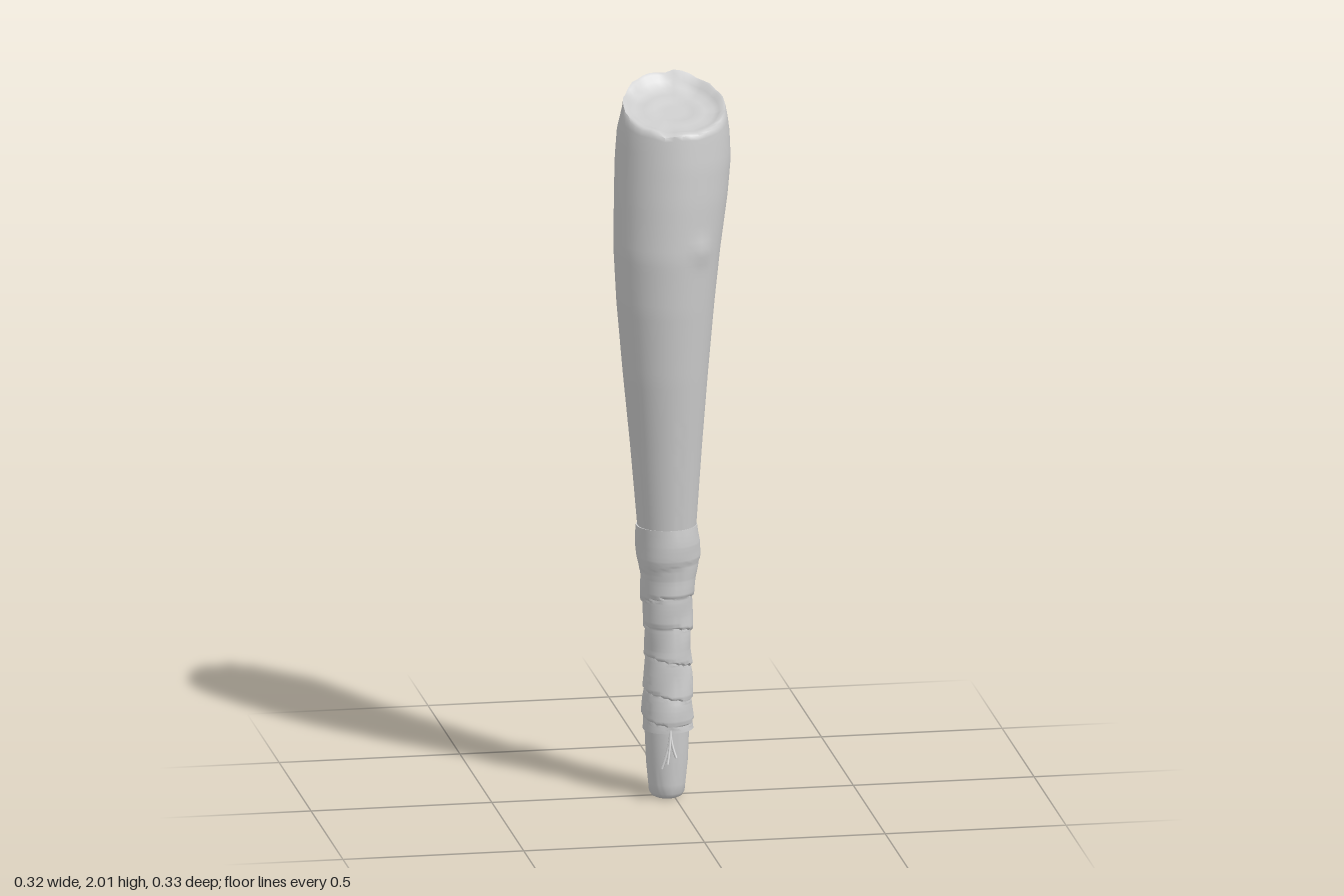
import * as THREE from 'three';
import { toCreasedNormals } from 'three/addons/utils/BufferGeometryUtils.js';

const SIDES = 40;

// Skin a list of rings (each a function of angle giving [x, y, z]) into a surface
function skin(rings, crease) {
  const pos = [], idx = [];
  for (const ring of rings)
    for (let j = 0; j < SIDES; j++) pos.push(...ring((j / SIDES) * Math.PI * 2));
  for (let i = 0; i < rings.length - 1; i++)
    for (let j = 0; j < SIDES; j++) {
      const k = (j + 1) % SIDES;
      const a = i * SIDES + j, b = i * SIDES + k, d = a + SIDES, c = b + SIDES;
      idx.push(a, d, c, a, c, b);
    }
  const g = new THREE.BufferGeometry();
  g.setAttribute('position', new THREE.Float32BufferAttribute(pos, 3));
  g.setIndex(idx);
  g.computeVertexNormals();
  return crease ? toCreasedNormals(g, crease) : g;
}

// Interpolate stations [y, xMin, xMax, zMin, zMax] at height y
function sample(stations, y) {
  let i = 0;
  while (i < stations.length - 2 && y > stations[i + 1][0]) i++;
  const a = stations[i], b = stations[i + 1];
  const t = THREE.MathUtils.clamp((y - a[0]) / (b[0] - a[0]), 0, 1);
  const [, x0, x1, z0, z1] = a.map((v, n) => v + (b[n] - v) * t);
  return { cx: (x0 + x1) / 2, cz: (z0 + z1) / 2, rx: (x1 - x0) / 2, rz: (z1 - z0) / 2 };
}

const at = (s, a, y, k = 1, d = 0) =>
  [s.cx + (s.rx * k + d) * Math.cos(a), y, s.cz + (s.rz * k + d) * Math.sin(a)];

// Smooth round bump or dent centred at angle a0 and height y0
function knot(a, y, a0, y0, width, height) {
  const da = Math.atan2(Math.sin(a - a0), Math.cos(a - a0)) * 0.15;
  return Math.exp(-((da / width) ** 2) - ((y - y0) / height) ** 2);
}

const BODY = [
  [0.74, -0.097, 0.06, -0.063, 0.093],
  [1.0, -0.12, 0.077, -0.081, 0.12],
  [1.2, -0.14, 0.092, -0.097, 0.142],
  [1.4, -0.157, 0.11, -0.117, 0.158],
  [1.55, -0.164, 0.127, -0.134, 0.164],
  [1.7, -0.16, 0.15, -0.155, 0.156],
  [1.8, -0.156, 0.16, -0.166, 0.147],
  [1.88, -0.15, 0.157, -0.16, 0.137],
  [1.95, -0.134, 0.146, -0.147, 0.127],
];

function bodyGeometry() {
  const rings = [];
  // Tapering shaft with a few knots
  for (let i = 0; i <= 50; i++) {
    const y = 0.74 + (1.84 - 0.74) * (i / 50), s = sample(BODY, y);
    rings.push(a => at(s, a, y, 1,
      0.009 * knot(a, y, 1.05, 1.57, 0.025, 0.03)
      - 0.014 * knot(a, y, -0.28, 1.735, 0.022, 0.032)
      + 0.006 * knot(a, y, -0.28, 1.77, 0.04, 0.025)));
  }
  // Slanting broken end: shoulder, chipped rim, then a shallow hollow
  const slant = z => 1.945 - 0.35 * z + 0.15 * Math.max(0, -z - 0.07);
  const chip = a => 0.007 * Math.max(0, Math.sin(a * 7 + 1)) * (0.4 + 0.6 * Math.max(0, -Math.sin(a)))
    + 0.005 * Math.max(0, Math.sin(a * 11));
  const rim = sample(BODY, 1.95);
  for (const t of [0.35, 0.7, 0.92]) rings.push(a => {
    const end = slant(at(rim, a, 0)[2]) - chip(a);
    const y = 1.84 + (end - 1.84) * t;
    return at(sample(BODY, y), a, y);
  });
  const hollow = [[1, 0], [0.95, 0.003], [0.88, 0.018], [0.78, 0.03], [0.6, 0.034],
    [0.45, 0.03], [0.38, 0.037], [0.2, 0.037], [0, 0.037]];
  for (const [k, depth] of hollow) rings.push(a => {
    const p = at(rim, a, 0, k);
    const back = 0.6 - 0.4 * Math.sin(a) * k;
    p[1] = slant(p[2]) - chip(a) * k ** 4 - depth * back;
    return p;
  });
  return skin(rings, 0.9);
}

const GRIP = [
  [0.19, -0.083, 0.053, -0.06, 0.074],
  [0.25, -0.083, 0.052, -0.055, 0.075],
  [0.35, -0.08, 0.05, -0.053, 0.073],
  [0.42, -0.075, 0.046, -0.051, 0.073],
  [0.52, -0.083, 0.05, -0.055, 0.078],
  [0.62, -0.09, 0.058, -0.06, 0.086],
  [0.68, -0.102, 0.073, -0.076, 0.099],
  [0.72, -0.104, 0.074, -0.077, 0.1],
  [0.77, -0.103, 0.064, -0.067, 0.098],
];

// Cloth wound around the grip: tilted overlapping bands
function wrapGeometry() {
  const edges = [0.13, 0.225, 0.295, 0.385, 0.475, 0.56, 0.655, 0.86];
  const rings = [], n = 100;
  const lo = sample(GRIP, 0.19), hi = sample(GRIP, 0.77);
  rings.push(a => at(lo, a, 0.195, 0.8));
  for (let i = 0; i <= n; i++) {
    const y = 0.19 + 0.58 * (i / n), s = sample(GRIP, y);
    rings.push(a => {
      let b = 0, t = 0;
      for (let e = 0; e < edges.length - 1; e++) {
        const tilt = h => h + 0.016 * Math.cos(a + h * 9);
        const e0 = tilt(edges[e]), e1 = tilt(edges[e + 1]);
        if (y >= e0 && y < e1) { b = e; t = (y - e0) / (e1 - e0); }
      }
      const swell = b === edges.length - 2 ? 0 : 0.007 * Math.sqrt(1 - t) - 0.003;
      return at(s, a, y, 1, swell + 0.0015 * Math.sin(a * 3 + y * 40));
    });
  }
  rings.push(a => at(hi, a, 0.768, 0.8));
  return skin(rings, 0.9);
}

const BUTT = [
  [0.0, -0.06, 0.024, -0.038, 0.054],
  [0.015, -0.066, 0.031, -0.045, 0.06],
  [0.1, -0.074, 0.04, -0.052, 0.066],
  [0.22, -0.079, 0.045, -0.056, 0.069],
];

// Bare wooden end below the cloth
function buttGeometry() {
  const s0 = sample(BUTT, 0);
  const rings = [0, 0.5, 0.8].map(k => a => at(s0, a, 0, k));
  for (const y of [0.004, 0.015, 0.04, 0.1, 0.16, 0.22]) {
    const s = sample(BUTT, y);
    rings.push(a => at(s, a, y, y < 0.01 ? 0.95 : 1));
  }
  return skin(rings, 0.9);
}

export function createModel() {
  const group = new THREE.Group();
  const grey = new THREE.MeshStandardMaterial({ color: 0xcccccc });
  grey.name = 'plain grey';
  const add = (name, geometry) => {
    const m = new THREE.Mesh(geometry, grey);
    m.name = name;
    group.add(m);
  };
  add('clubBody', bodyGeometry());
  add('gripWrap', wrapGeometry());
  add('handleButt', buttGeometry());

  // Loose cloth ends hanging at the front of the grip
  const ends = [[-0.047, 0.1, 0.1], [-0.034, 0.115, 0.115], [-0.008, 0.13, 0.105]];
  for (const [x, y, z] of ends) {
    const path = new THREE.QuadraticBezierCurve3(
      new THREE.Vector3(-0.018, 0.2, 0.07),
      new THREE.Vector3(-0.02, 0.165, 0.085),
      new THREE.Vector3(x, y, z));
    add('looseStrand', new THREE.TubeGeometry(path, 6, 0.004, 5));
  }
  return group;
}
